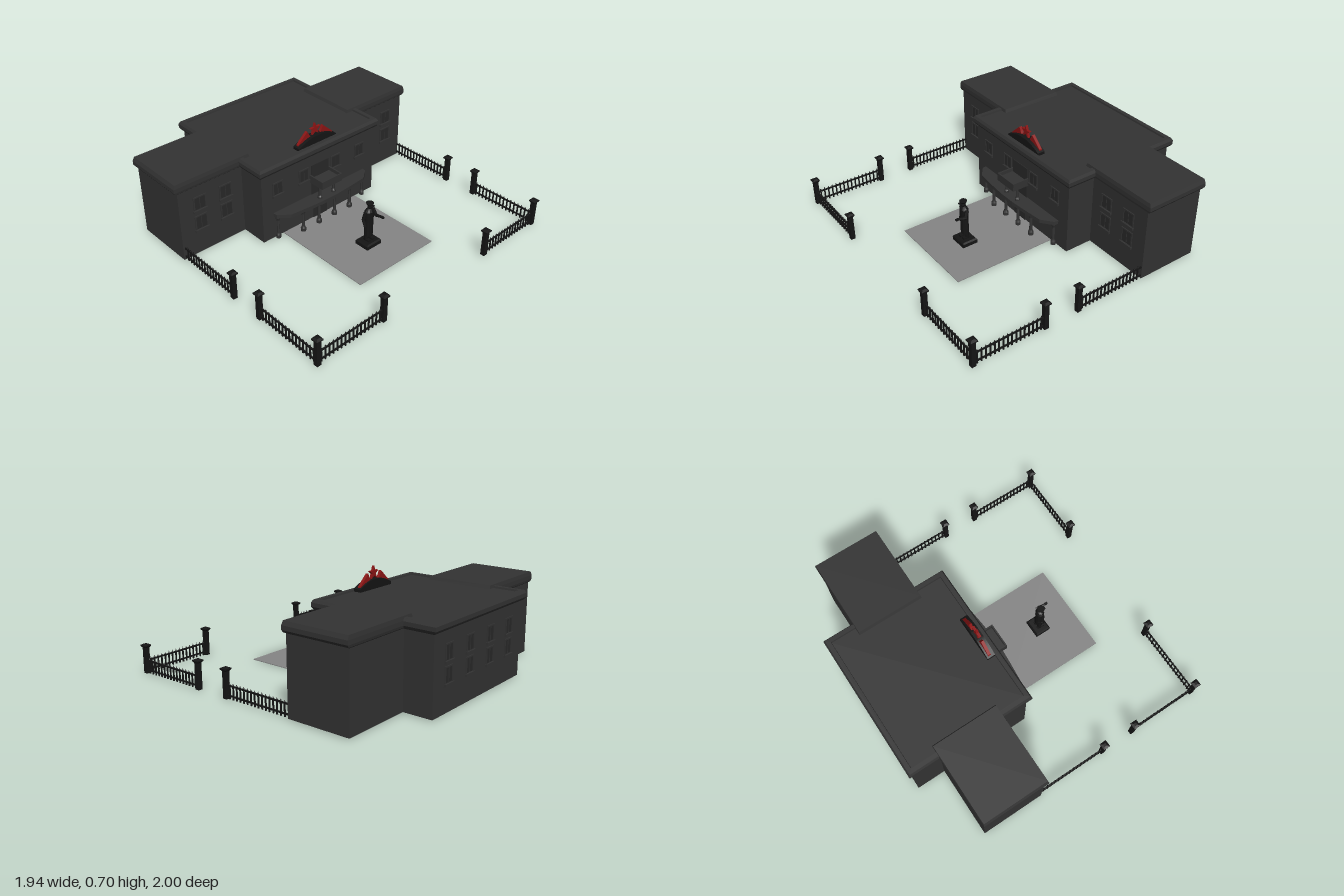
import * as THREE from 'three';

const mat = (color, side = THREE.FrontSide) =>
  new THREE.MeshStandardMaterial({ color, side, flatShading: true });
const STONE = mat(0x333333), PANE = mat(0x292929), IRON = mat(0x151515);
const RED = mat(0x8c1515), PAVING = mat(0x868686, THREE.DoubleSide);

function add(parent, name, geometry, material, x = 0, y = 0, z = 0) {
  const mesh = new THREE.Mesh(geometry, material);
  mesh.name = name;
  mesh.position.set(x, y, z);
  parent.add(mesh);
  return mesh;
}

// box given by its minimum and maximum corners
function block(parent, name, material, x0, x1, y0, y1, z0, z1) {
  return add(parent, name, new THREE.BoxGeometry(x1 - x0, y1 - y0, z1 - z0), material,
    (x0 + x1) / 2, (y0 + y1) / 2, (z0 + z1) / 2);
}

// rectangular rings [xOffset, zOffset, y] joined into a closed solid
function ringLoft(x0, x1, z0, z1, rings) {
  const pos = [], idx = [0, 2, 1, 0, 3, 2];
  rings.forEach(([ox, oz, y], i) => {
    pos.push(x0 - ox, y, z0 - oz, x0 - ox, y, z1 + oz, x1 + ox, y, z1 + oz, x1 + ox, y, z0 - oz);
    if (i === rings.length - 1) return;
    for (let j = 0; j < 4; j++) {
      const a = i * 4 + j, b = i * 4 + (j + 1) % 4;
      idx.push(a, b, b + 4, a, b + 4, a + 4);
    }
  });
  const t = (rings.length - 1) * 4;
  idx.push(t, t + 1, t + 2, t, t + 2, t + 3);
  let g = new THREE.BufferGeometry();
  g.setAttribute('position', new THREE.Float32BufferAttribute(pos, 3));
  g.setIndex(idx);
  g = g.toNonIndexed();
  g.computeVertexNormals();
  return g;
}

const shapeOf = (pts) => new THREE.Shape(pts.map(([u, v]) => new THREE.Vector2(u, v)));
// outline in the facade plane (u across, v up), thickened along +x
const facadeExtrude = (shape, depth) =>
  new THREE.ExtrudeGeometry(shape, { depth, bevelEnabled: false, curveSegments: 12 }).rotateY(Math.PI / 2);

// framed window with pane and sill on a wall at x, facing dir
function windowUnit(parent, x, dir, z, y0, y1, w = 0.085) {
  const g = new THREE.Group();
  g.name = 'window';
  const h = y1 - y0, f = 0.009;
  const frame = shapeOf([[-w / 2, 0], [w / 2, 0], [w / 2, h], [-w / 2, h]]);
  frame.holes.push(new THREE.Path([[-w / 2 + f, f], [-w / 2 + f, h - f], [w / 2 - f, h - f], [w / 2 - f, f]]
    .map(([u, v]) => new THREE.Vector2(u, v))));
  add(g, 'windowFrame', facadeExtrude(frame, 0.006), STONE);
  block(g, 'windowPane', PANE, -0.004, 0.0015, f, h - f, -w / 2 + f, w / 2 - f);
  block(g, 'windowMullion', STONE, 0, 0.004, f, h - f, -0.002, 0.002);
  block(g, 'windowSill', STONE, 0, 0.013, -0.008, 0.008, -w / 2 - 0.004, w / 2 + 0.004);
  g.position.set(x, y0, z);
  if (dir < 0) g.rotation.y = Math.PI;
  parent.add(g);
}

function column(parent, name, x, z, y0, y1, r) {
  const h = y1 - y0;
  const pts = [[0, 0], [1.7, 0], [1.7, 0.13], [1.2, 0.2], [1, 0.24], [0.9, 0.8], [1.3, 0.88], [1.7, 0.93], [1.7, 1], [0, 1]];
  add(parent, name, new THREE.LatheGeometry(pts.map(([a, b]) => new THREE.Vector2(a * r, b * h)), 10), STONE, x, y0, z);
}

function fenceRun(parent, ax, az, bx, bz) {
  const g = new THREE.Group();
  g.name = 'fence';
  const len = Math.hypot(bx - ax, bz - az), n = Math.round(len / 0.03);
  for (const y of [0.03, 0.093]) block(g, 'fenceRail', IRON, 0, len, y - 0.005, y + 0.005, -0.004, 0.004);
  for (let i = 1; i < n; i++) {
    const x = (i * len) / n;
    block(g, 'picket', IRON, x - 0.004, x + 0.004, 0.01, 0.102, -0.004, 0.004);
    add(g, 'picketTip', new THREE.ConeGeometry(0.006, 0.014, 4), IRON, x, 0.108, 0);
  }
  g.position.set(ax, 0, az);
  g.rotation.y = -Math.atan2(bz - az, bx - ax);
  parent.add(g);
}

function fencePost(parent, x, z) {
  block(parent, 'fencePost', IRON, x - 0.015, x + 0.015, 0.008, 0.188, z - 0.015, z + 0.015);
  add(parent, 'postCap', ringLoft(-0.015, 0.015, -0.015, 0.015,
    [[0, 0, 0.18], [0.009, 0.009, 0.19], [0.009, 0.009, 0.198], [-0.006, -0.006, 0.205]]), IRON, x, 0, z);
}

// rounded limb between two points
function limb(parent, name, a, b, r0, r1) {
  const p = new THREE.Vector3(...a), q = new THREE.Vector3(...b), d = q.clone().sub(p);
  const m = add(parent, name, new THREE.CylinderGeometry(r1, r0, d.length(), 8), IRON);
  m.position.copy(p).addScaledVector(d, 0.5);
  m.quaternion.setFromUnitVectors(new THREE.Vector3(0, 1, 0), d.normalize());
}

function statue() {
  const g = new THREE.Group();
  g.name = 'statue';
  add(g, 'pedestal', ringLoft(-0.055, 0.055, -0.063, 0.063,
    [[0, 0, 0.004], [0, 0, 0.03], [-0.008, -0.008, 0.04]]), IRON);
  for (const s of [-1, 1]) {
    limb(g, 'leg', [-0.006, 0.04, s * 0.017], [-0.004, 0.15, s * 0.016], 0.014, 0.017);
    block(g, 'boot', IRON, -0.022, 0.028, 0.038, 0.052, s * 0.018 - 0.011, s * 0.018 + 0.011);
  }
  // long coat up to the collar
  const coat = [[0, 0.075], [0.03, 0.075], [0.031, 0.12], [0.032, 0.19], [0.035, 0.235], [0.035, 0.262], [0.024, 0.278], [0.011, 0.284], [0.011, 0.295]];
  add(g, 'coat', new THREE.LatheGeometry(coat.map(([r, y]) => new THREE.Vector2(r, y)), 12), IRON).scale.x = 0.8;
  add(g, 'head', new THREE.SphereGeometry(0.018, 10, 8), IRON, 0.006, 0.301, 0).scale.y = 1.15;
  const cap = add(g, 'cap', new THREE.CylinderGeometry(0.026, 0.019, 0.014, 12), IRON, 0.004, 0.318, 0);
  cap.rotation.z = -0.12;
  block(g, 'capPeak', IRON, 0.018, 0.036, 0.308, 0.313, -0.013, 0.013);
  // raised arm pointing forward, other arm hanging
  limb(g, 'upperArm', [0, 0.265, -0.034], [0.018, 0.218, -0.043], 0.012, 0.011);
  limb(g, 'forearm', [0.018, 0.218, -0.043], [0.07, 0.231, -0.04], 0.011, 0.008);
  block(g, 'hand', IRON, 0.066, 0.09, 0.226, 0.237, -0.048, -0.033);
  limb(g, 'upperArm', [0, 0.265, 0.034], [-0.008, 0.21, 0.045], 0.012, 0.011);
  limb(g, 'forearm', [-0.008, 0.21, 0.045], [0.006, 0.16, 0.041], 0.011, 0.009);
  g.position.set(0.355, 0, -0.011);
  return g;
}

export function createModel() {
  const model = new THREE.Group();
  model.name = 'publicHall';

  // central block with cornice and sunken roof
  add(model, 'mainBlock', ringLoft(-0.945, -0.105, -0.495, 0.49, [[0, 0, 0.008], [0, 0, 0.5], [0.015, 0.015, 0.508],
    [0.024, 0.024, 0.524], [0.024, 0.024, 0.55], [0.014, 0.014, 0.568], [-0.014, -0.014, 0.568], [-0.016, -0.016, 0.556]]), STONE);

  // side wings, each with its cornice and front windows
  for (const s of [-1, 1]) {
    const z0 = s < 0 ? -0.975 : 0.45, z1 = s < 0 ? -0.45 : 0.975;
    add(model, 'wing', ringLoft(-0.745, -0.305, z0, z1, [[0, 0, 0.008], [0, 0, 0.503], [0.008, 0.015, 0.51],
      [0.011, 0.025, 0.525], [0.011, 0.025, 0.552], [0.007, 0.014, 0.578]]), STONE);
    for (const z of [0.625, 0.822]) {
      windowUnit(model, -0.305, 1, s * z, 0.18, 0.29, 0.095);
      windowUnit(model, -0.305, 1, s * z, 0.325, 0.43, 0.095);
    }
    // central block windows, front and rear
    for (const z of [0.14, 0.36]) windowUnit(model, -0.105, 1, s * z, 0.325, 0.425);
    for (const z of [0.115, 0.34]) {
      windowUnit(model, -0.945, -1, s * z, 0.18, 0.29);
      windowUnit(model, -0.945, -1, s * z, 0.315, 0.425);
    }
  }

  // entrance and balcony doors
  block(model, 'entranceDoor', PANE, -0.11, -0.1, 0.008, 0.14, -0.06, 0.06);
  block(model, 'balconyDoor', PANE, -0.11, -0.1, 0.2, 0.425, -0.075, 0.075);

  // portico: bowed slab on columns with a smaller balcony above
  const edge = [[-0.11, 0.405], [-0.075, 0.4], [-0.015, 0.325], [0, 0.17], [0.008, 0.06]];
  const slab = shapeOf([...edge, ...edge.slice().reverse().map(([x, z]) => [x, -z])]);
  add(model, 'porticoSlab', new THREE.ExtrudeGeometry(slab, { depth: 0.025, bevelEnabled: false }).rotateX(-Math.PI / 2),
    STONE, 0, 0.175, 0);
  for (const s of [-1, 1]) {
    column(model, 'porticoColumn', -0.035, s * 0.21, 0.008, 0.176, 0.011);
    column(model, 'porticoColumn', -0.035, s * 0.07, 0.008, 0.176, 0.011);
    column(model, 'wallColumn', -0.088, s * 0.38, 0.008, 0.176, 0.01);
    column(model, 'balconyColumn', -0.035, s * 0.06, 0.2, 0.302, 0.01);
  }
  block(model, 'balconyFloor', STONE, -0.11, 0.02, 0.3, 0.33, -0.088, 0.088);
  block(model, 'balconyFront', STONE, 0.01, 0.02, 0.33, 0.355, -0.088, 0.088);
  for (const s of [-1, 1]) block(model, 'balconySide', STONE, -0.11, 0.01, 0.33, 0.355, s * 0.083 - 0.005, s * 0.083 + 0.005);

  // roof crest: arched base, two red banners and a star
  const arch = shapeOf([[-0.16, 0.55], [0.16, 0.55], [0.16, 0.575]]);
  arch.quadraticCurveTo(0.08, 0.615, 0.03, 0.618);
  arch.lineTo(-0.03, 0.618);
  arch.quadraticCurveTo(-0.08, 0.615, -0.16, 0.575);
  add(model, 'crestBase', facadeExtrude(arch, 0.055), IRON, -0.176, 0, 0);
  for (const s of [-1, 1]) {
    const pts = [[0.15, 0.572], [0.145, 0.59], [0.068, 0.66], [0.055, 0.635], [0.035, 0.605]].map(([u, v]) => [s * u, v]);
    add(model, 'banner', facadeExtrude(shapeOf(pts), 0.02), RED, -0.164, 0, 0);
  }
  const star = [];
  for (let i = 0; i < 10; i++) {
    const r = i % 2 ? 0.018 : 0.045, a = Math.PI / 2 + (i * Math.PI) / 5;
    star.push([r * Math.cos(a), r * Math.sin(a)]);
  }
  add(model, 'star', facadeExtrude(shapeOf(star), 0.018), RED, -0.16, 0.655, 0);

  // paved forecourt with statue
  block(model, 'forecourt', PAVING, -0.14, 0.62, 0, 0.005, -0.332, 0.32);
  model.add(statue());

  // perimeter fences with posts
  for (const [z, zEnd] of [[-0.968, -0.468], [0.96, 0.448]]) {
    fenceRun(model, -0.305, z, 0.197, z);
    fenceRun(model, 0.443, z, 0.943, z);
    fenceRun(model, 0.94, z, 0.94, zEnd);
    for (const [x, pz] of [[0.197, z], [0.443, z], [0.943, z], [0.94, zEnd]]) fencePost(model, x, pz);
  }
  return model;
}
